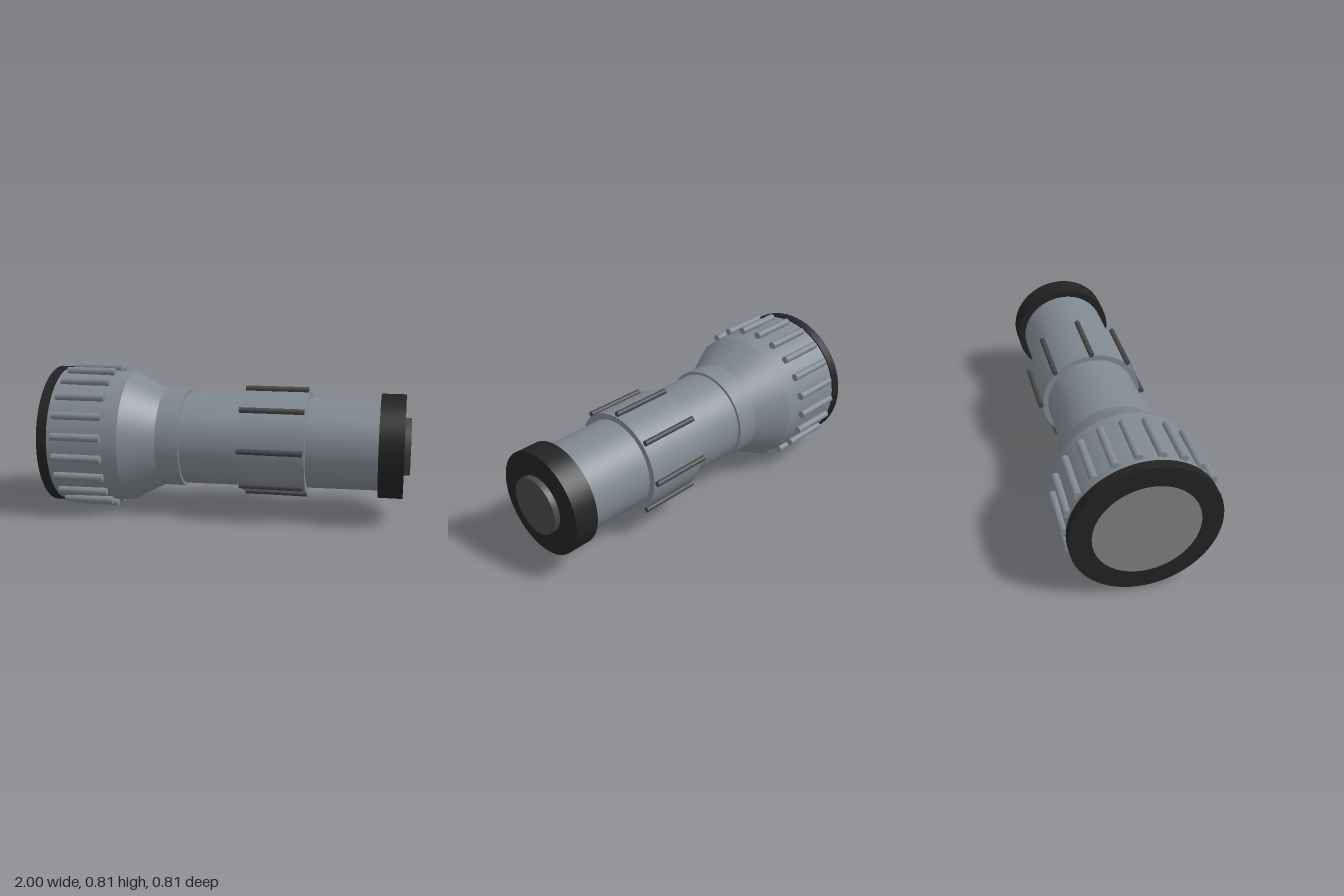
import * as THREE from 'three';

const AXIS_Y = 0.409;

export function createModel() {
  const group = new THREE.Group();
  const mat = (name, color) => {
    const m = new THREE.MeshStandardMaterial({ color });
    m.name = name;
    return m;
  };
  const metal = mat('blue grey metal', 0x808890);
  const black = mat('black rubber', 0x222222);
  const dark = mat('dark grey rubber', 0x464646);
  const glass = mat('grey lens', 0x808080);

  // Round section lying along x, from x0 (radius r0) to x1 (radius r1)
  const section = (name, x0, x1, r0, r1, material, sides = 64) => {
    const geo = new THREE.CylinderGeometry(r1, r0, x1 - x0, sides);
    geo.rotateZ(-Math.PI / 2);
    const mesh = new THREE.Mesh(geo, material);
    mesh.name = name;
    mesh.position.set((x0 + x1) / 2, AXIS_Y, 0);
    group.add(mesh);
    return mesh;
  };

  // Ring of round rods around the axis, starting at the back (-z)
  const rods = (name, count, x0, x1, ringRadius, r, material) => {
    for (let i = 0; i < count; i++) {
      const a = (i / count) * Math.PI * 2;
      const rod = section(name, x0, x1, r, r, material, 20);
      rod.position.y += Math.sin(a) * ringRadius;
      rod.position.z = -Math.cos(a) * ringRadius;
    }
  };

  // Lamp head with bezel and lens
  section('lens', -1, -0.99, 0.275, 0.275, glass);
  section('bezel', -0.997, -0.943, 0.388, 0.388, black);
  section('head', -0.943, -0.55, 0.38, 0.367, metal);
  section('headCone', -0.55, -0.365, 0.367, 0.271, metal);
  rods('headRib', 21, -0.913, -0.637, 0.387, 0.021, metal);

  // Tapering barrel with collar and grip sleeve
  section('collar', -0.365, -0.235, 0.271, 0.271, metal);
  section('barrel', -0.235, 0.835, 0.256, 0.245, metal);
  section('gripSleeve', 0.1, 0.45, 0.283, 0.283, metal);
  rods('gripRib', 8, 0.092, 0.441, 0.295, 0.015, dark);

  // Tail cap and push button
  section('tailCap', 0.835, 0.967, 0.284, 0.284, black);
  section('tailButton', 0.967, 1, 0.156, 0.156, dark);

  return group;
}
